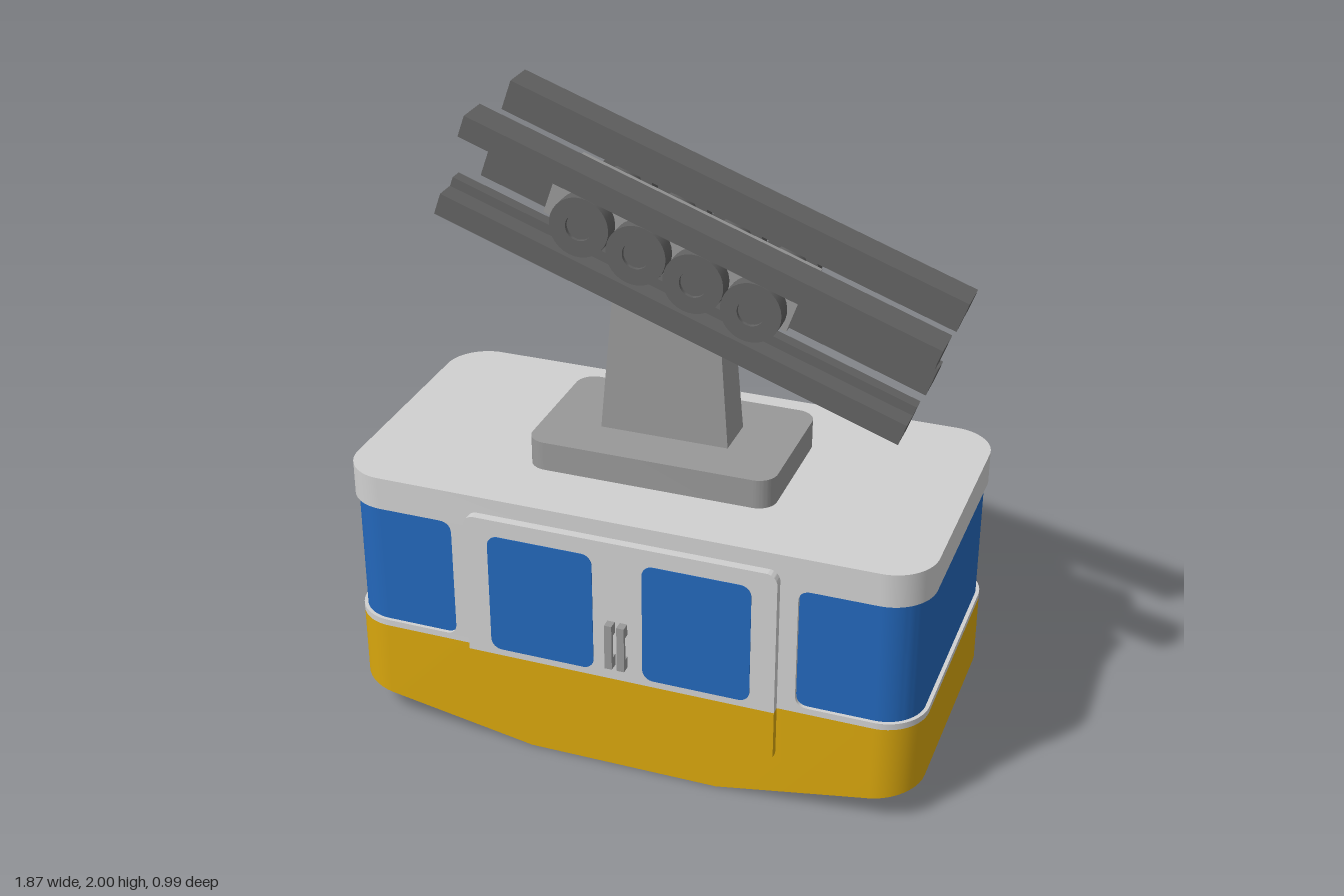
import * as THREE from 'three';
import { toCreasedNormals } from 'three/addons/utils/BufferGeometryUtils.js';

const mat = (name, color) => {
  const m = new THREE.MeshStandardMaterial({ color });
  m.name = name;
  return m;
};

export function createModel() {
  const white = mat('light grey paint', 0xd0d0d0);
  const yellow = mat('yellow paint', 0xd8a60d);
  const blue = mat('blue glass', 0x2367ba);
  const grey = mat('mid grey metal', 0x989898);
  const dark = mat('dark grey metal', 0x626262);

  const model = new THREE.Group();
  model.name = 'cableCar';
  const add = (name, geometry, material, x = 0, y = 0, z = 0, parent = model) => {
    const mesh = new THREE.Mesh(toCreasedNormals(geometry, 0.5), material);
    mesh.name = name;
    mesh.position.set(x, y, z);
    parent.add(mesh);
    return mesh;
  };

  // Rectangle with separate radii for the upper and lower corners
  const roundRect = (x0, y0, x1, y1, rTop, rLow = rTop) => {
    const s = new THREE.Shape();
    const corner = (x, y, r, a) => (r > 0 ? s.absarc(x, y, r, a, a + Math.PI / 2, false) : s.lineTo(x, y));
    s.moveTo(x0 + rLow, y0);
    corner(x1 - rLow, y0 + rLow, rLow, -Math.PI / 2);
    corner(x1 - rTop, y1 - rTop, rTop, 0);
    corner(x0 + rTop, y1 - rTop, rTop, Math.PI / 2);
    corner(x0 + rLow, y0 + rLow, rLow, Math.PI);
    return s;
  };
  const extrude = (shape, depth) =>
    new THREE.ExtrudeGeometry(shape, { depth, bevelEnabled: false, curveSegments: 10 });
  // Horizontal slab with rounded plan corners
  const slab = (name, material, hx, hz, r, y0, y1, z) =>
    add(name, extrude(roundRect(-hx, -hz, hx, hz, r), y1 - y0).rotateX(-Math.PI / 2), material, 0, y0, z);

  // Cabin dimensions
  const HX = 0.935, HZ = 0.466, R = 0.138, CZ = -0.027;
  const FRONT = CZ + HZ, BACK = CZ - HZ;
  const BAND = 0.345, SILL = 0.366, HEAD = 0.776, ROOF = 0.885;

  // Hull: cross-sections along x, with a keel that rises towards both ends
  const columns = [];
  for (let i = 0; i <= 10; i++) {
    const a = (i / 10) * Math.PI / 2;
    columns.push([HX - R + R * Math.cos(a), HZ - R + R * Math.sin(a)]);
  }
  columns.push([0.31, HZ]);
  const stations = [...columns.map(([x, w]) => [-x, w]), ...columns.reverse()];
  const sections = stations.map(([x, w]) => {
    const y = 0.11 * Math.max(0, (Math.abs(x) - 0.31) / (HX - 0.31));
    return [[x, y, -w], [x, y, w], [x, BAND, w], [x, BAND, -w]];
  });
  const pos = [];
  const quad = (a, b, c, d) => pos.push(...a, ...b, ...c, ...a, ...c, ...d);
  for (let i = 0; i < sections.length - 1; i++) {
    const p = sections[i], q = sections[i + 1];
    for (let k = 0; k < 4; k++) {
      const n = (k + 1) % 4;
      quad(p[k], q[k], q[n], p[n]);
    }
  }
  const first = sections[0], last = sections[sections.length - 1];
  quad(first[0], first[1], first[2], first[3]);
  quad(last[3], last[2], last[1], last[0]);
  const hull = new THREE.BufferGeometry();
  hull.setAttribute('position', new THREE.Float32BufferAttribute(pos, 3));
  add('hull', hull, yellow, 0, 0, CZ);

  // Band, recessed glass and roof
  slab('sillBand', white, HX, HZ, R, BAND, SILL, CZ);
  slab('glass', blue, HX - 0.012, HZ - 0.012, R - 0.012, SILL - 0.005, HEAD + 0.005, CZ);
  slab('roof', white, HX, HZ, R, HEAD, ROOF, CZ);

  // Side frames flush with the roof; outer corners flare into the rails
  const frameShape = () => {
    const x = 0.556, f = 0.04, s = new THREE.Shape();
    s.moveTo(-x - f, SILL);
    s.lineTo(x + f, SILL);
    s.quadraticCurveTo(x, SILL, x, SILL + f);
    s.lineTo(x, HEAD - f);
    s.quadraticCurveTo(x, HEAD, x + f, HEAD);
    s.lineTo(-x - f, HEAD);
    s.quadraticCurveTo(-x, HEAD, -x, HEAD - f);
    s.lineTo(-x, SILL + f);
    s.quadraticCurveTo(-x, SILL, -x - f, SILL);
    return s;
  };
  add('frontFrame', extrude(frameShape(), 0.014), white, 0, 0, FRONT - 0.014);
  const backShape = frameShape();
  backShape.holes.push(roundRect(-0.43, SILL + 0.003, 0.43, HEAD - 0.003, 0.04));
  add('backFrame', extrude(backShape, 0.014), white, 0, 0, BACK);

  // Door: yellow lower part, light upper part, two panes and handles
  const DOOR = 0.467;
  add('doorLower', extrude(roundRect(-0.5, 0.152, 0.5, BAND, 0, 0.035), DOOR - FRONT), yellow, 0, 0, FRONT);
  add('doorUpper', extrude(roundRect(-0.5, BAND, 0.5, 0.83, 0.035, 0), DOOR - FRONT), white, 0, 0, FRONT);
  for (const s of [-1, 1]) {
    add('doorWindow', extrude(roundRect(-0.171, 0.368, 0.171, 0.775, 0.035), 0.002), blue, s * 0.251, 0, DOOR);
    const handle = new THREE.Group();
    handle.name = 'doorHandle';
    handle.position.set(s * 0.02, 0.478, DOOR);
    model.add(handle);
    add('grip', new THREE.BoxGeometry(0.024, 0.155, 0.012), grey, 0, 0, 0.024, handle);
    for (const e of [-1, 1])
      add('handleFoot', new THREE.BoxGeometry(0.024, 0.038, 0.02), grey, 0, e * 0.0585, 0.01, handle);
  }

  // Roof base and tapered mast
  slab('mastBase', grey, 0.398, 0.238, 0.06, ROOF, 0.98, -0.024);
  const mast = new THREE.BoxGeometry(0.415, 0.62, 0.15);
  const mp = mast.attributes.position;
  for (let i = 0; i < mp.count; i++)
    if (mp.getY(i) > 0) mp.setXYZ(i, mp.getX(i) * 0.75, mp.getY(i), mp.getZ(i) * 0.78);
  mast.computeVertexNormals();
  add('mast', mast, grey, -0.002, 1.29, -0.021);

  // Tilted carriage
  const carriage = new THREE.Group();
  carriage.name = 'carriage';
  carriage.position.set(0.103, 1.587, -0.0225);
  carriage.rotation.z = -0.341;
  model.add(carriage);
  add('carriageBlock', new THREE.BoxGeometry(0.806, 0.12, 0.225), grey, -0.076, 0, 0, carriage);

  // Stepped guide rails above and below the wheels, mirrored front and back
  const railProfile = [[0.11, 0.069], [0.152, 0.069], [0.152, 0.099], [0.22, 0.099], [0.22, 0.169], [0.11, 0.169]];
  // Wheel profile: axle, tread and sunken hub
  const wheelProfile = [[0.06, 0.1], [0.06, 0.155], [0.093, 0.155], [0.093, 0.21], [0.042, 0.21], [0.042, 0.198], [0, 0.198]]
    .map(([r, y]) => new THREE.Vector2(r, y));
  for (const sz of [-1, 1]) {
    for (const sy of [-1, 1]) {
      const shape = new THREE.Shape(railProfile.map(([z, y]) => new THREE.Vector2(-z * sz, y * sy)));
      add('guideRail', extrude(shape, 1.53).rotateY(Math.PI / 2), dark, -0.765, 0, 0, carriage);
    }
    for (let i = 0; i < 4; i++) {
      const wheel = new THREE.LatheGeometry(wheelProfile, 32).rotateX(sz * Math.PI / 2);
      add('wheel', wheel, dark, -0.058 + (i - 1.5) * 0.187, 0, 0, carriage);
    }
  }
  return model;
}
